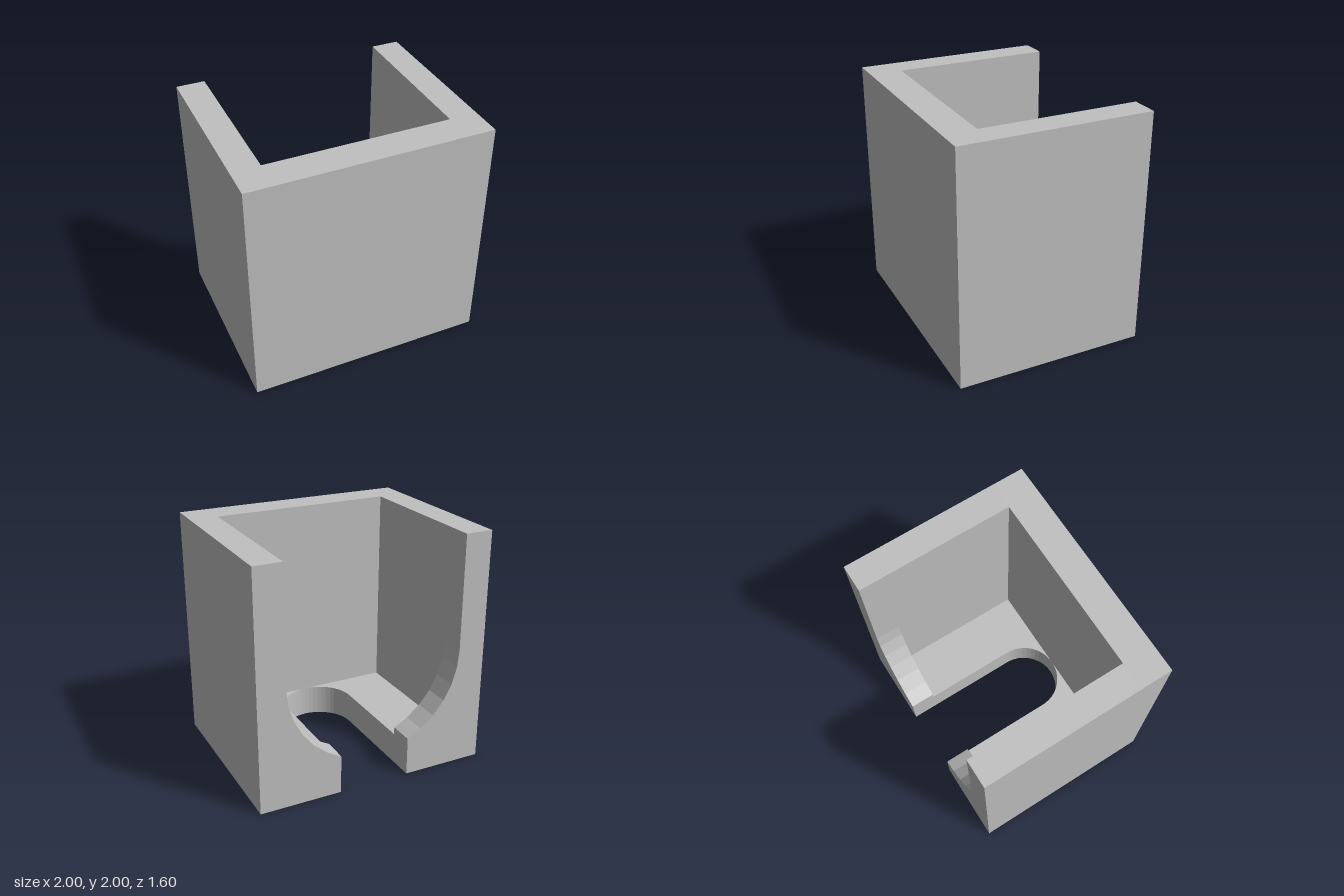
import * as THREE from 'three';

const INNER = 0.765;      // half width of the cavity
const SLOT = 0.305;       // half width of the floor slot
const FLOOR = 0.265;      // floor thickness
const ARC_Y = FLOOR + INNER;
const FRONT = 0.53, LIP = -0.585, HALF_D = 0.8;

export function createModel() {
  const model = new THREE.Group();
  model.name = 'openHolder';
  const grey = new THREE.MeshStandardMaterial({ color: 0xc0c0c0 });
  grey.name = 'plain grey';

  const add = (name, geometry) => {
    const mesh = new THREE.Mesh(geometry, grey);
    mesh.name = name;
    model.add(mesh);
    return mesh;
  };
  const extrude = (points, depth) => new THREE.ExtrudeGeometry(
    new THREE.Shape(points.map(([x, y]) => new THREE.Vector2(x, y))),
    { depth, bevelEnabled: false });

  // Solid front wall
  add('frontWall', new THREE.BoxGeometry(2, 2, HALF_D - FRONT))
    .position.set(0, 1, (HALF_D + FRONT) / 2);

  for (const [side, s] of [['left', 1], ['right', -1]]) {
    // Side wall
    add(side + 'Wall', new THREE.BoxGeometry(1 - INNER, 2, FRONT - LIP))
      .position.set(s * (1 + INNER) / 2, 1, (FRONT + LIP) / 2);

    // Half floor with its share of the round-ended slot
    const floor = [[s * INNER, -LIP], [s * SLOT, -LIP]];
    for (let i = 0; i <= 12; i++) {
      const a = (i / 12) * Math.PI / 2;
      floor.push([s * SLOT * Math.cos(a), -(FRONT - SLOT + SLOT * Math.sin(a))]);
    }
    floor.push([s * INNER, -FRONT]);
    add(side + 'Floor', extrude(floor, FLOOR).rotateX(-Math.PI / 2));

    // Back post with the curved lip that cradles a round body
    const post = [[s * SLOT, 0], [s, 0], [s, 2], [s * INNER, 2]];
    for (let i = 0; i <= 5; i++) {
      const a = i * Math.PI / 16;
      post.push([s * INNER * Math.cos(a), ARC_Y - INNER * Math.sin(a)]);
    }
    post.push([s * SLOT, ARC_Y - Math.sqrt(INNER ** 2 - SLOT ** 2)]);
    add(side + 'BackLip', extrude(post, LIP + HALF_D).translate(0, 0, -HALF_D));
  }
  return model;
}
